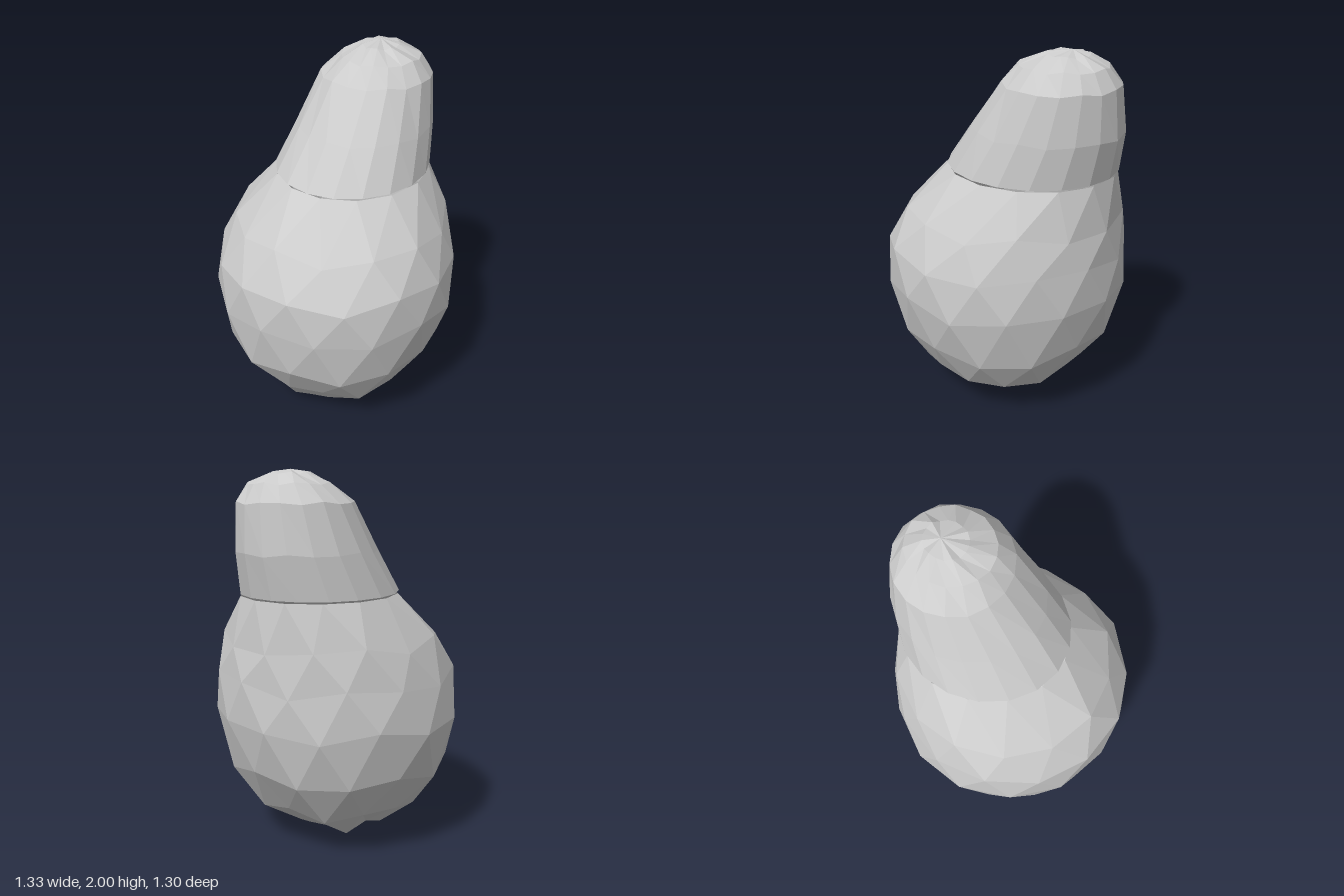
import * as THREE from 'three';

// Skin of elliptical rings: each ring is [y, xMin, xMax, zMin, zMax].
// A ring of zero width is a pole. stagger turns each ring by part of a step,
// wobble lifts and lowers its corners for a hand-cut, faceted look.
function loft(rings, sides, stagger, wobble) {
  const isPole = (r) => r[1] === r[2];
  const corner = (k, i) => {
    const [y, x0, x1, z0, z1] = rings[k];
    const a = ((i % sides) + k * stagger) / sides * Math.PI * 2;
    const inner = k > 0 && k < rings.length - 1;
    const lift = inner ? wobble * Math.sin((i % sides) * 2.4 + k * 1.7) : 0;
    return [
      (x0 + x1) / 2 + Math.cos(a) * (x1 - x0) / 2,
      y + lift,
      (z0 + z1) / 2 - Math.sin(a) * (z1 - z0) / 2,
    ];
  };
  const points = [];
  for (let k = 0; k < rings.length - 1; k++) {
    for (let i = 0; i < sides; i++) {
      const a = corner(k, i), b = corner(k, i + 1);
      const c = corner(k + 1, i + 1), d = corner(k + 1, i);
      if (!isPole(rings[k])) points.push(...a, ...b, ...d);
      if (!isPole(rings[k + 1])) points.push(...b, ...c, ...d);
    }
  }
  const geometry = new THREE.BufferGeometry();
  geometry.setAttribute('position', new THREE.Float32BufferAttribute(points, 3));
  geometry.computeVertexNormals();
  return geometry;
}

export function createModel() {
  const group = new THREE.Group();
  group.name = 'gourd';
  const material = new THREE.MeshStandardMaterial({
    color: 0xcccccc, flatShading: true, side: THREE.DoubleSide,
  });
  const add = (name, geometry) => {
    const mesh = new THREE.Mesh(geometry, material);
    mesh.name = name;
    group.add(mesh);
  };

  // Round, coarsely faceted belly, leaning back towards its open top
  add('body', loft([
    [0, 0.06, 0.06, 0.06, 0.06],
    [0.08, -0.27, 0.22, -0.22, 0.33],
    [0.23, -0.45, 0.46, -0.44, 0.46],
    [0.45, -0.61, 0.59, -0.59, 0.61],
    [0.72, -0.67, 0.66, -0.655, 0.655],
    [0.94, -0.64, 0.65, -0.65, 0.65],
    [1.14, -0.56, 0.58, -0.635, 0.53],
    [1.375, -0.375, 0.44, -0.61, 0.285],
  ], 14, 0.5, 0.03));

  // Narrow, finer dome that continues the lean
  add('cap', loft([
    [1.385, -0.38, 0.44, -0.615, 0.288],
    [1.6, -0.295, 0.42, -0.652, 0.135],
    [1.84, -0.205, 0.385, -0.635, -0.045],
    [1.93, -0.1, 0.315, -0.575, -0.135],
    [1.98, 0, 0.2, -0.48, -0.26],
    [2, 0.09, 0.09, -0.39, -0.39],
  ], 18, 0, 0.008));

  return group;
}
